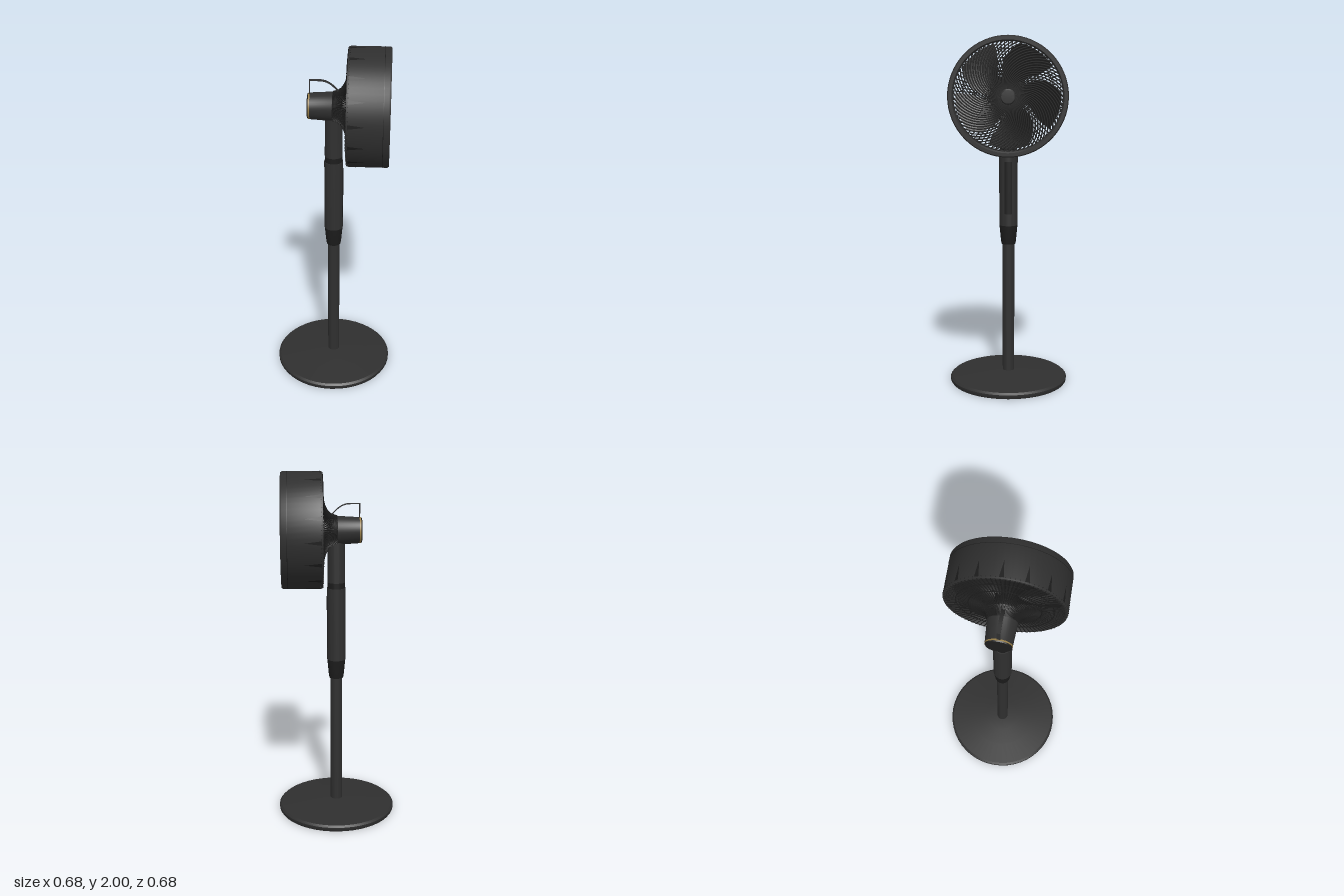
import * as THREE from 'three';
import { mergeGeometries, toCreasedNormals } from 'three/addons/utils/BufferGeometryUtils.js';

const mat = (name, color, side = THREE.FrontSide) => {
  const m = new THREE.MeshStandardMaterial({ color, side });
  m.name = name;
  return m;
};

export function createModel() {
  const body = mat('charcoal body', 0x2f2f2f);
  const dark = mat('black trim', 0x1c1c1c, THREE.DoubleSide);
  const gold = mat('brass ring', 0x9a8048);

  const model = new THREE.Group();
  model.name = 'pedestalFan';
  const head = new THREE.Group();
  head.name = 'fanHead';
  head.position.y = 1.676;
  model.add(head);

  const add = (parent, name, geometry, material) => {
    const mesh = new THREE.Mesh(geometry, material);
    mesh.name = name;
    parent.add(mesh);
    return mesh;
  };
  // Turned solid from [radius, height] pairs
  const turned = (pts, sides = 40) => toCreasedNormals(
    new THREE.LatheGeometry(pts.map(p => new THREE.Vector2(...p)), sides), 0.6);
  // The same, with its axis along x
  const turnedX = (pts, sides = 64) => turned(pts, sides).rotateZ(-Math.PI / 2);
  // Copies of a geometry spread around the x axis
  const around = (geometry, n, offset = 0) => mergeGeometries(
    Array.from({ length: n }, (_, i) => geometry.clone().rotateX(offset + i / n * Math.PI * 2)));

  // Stand
  add(model, 'base', turned([[0, 0], [0.336, 0], [0.341, 0.008], [0.341, 0.024], [0.33, 0.034],
    [0.2, 0.047], [0.1, 0.057], [0.045, 0.06], [0, 0.06]], 48), body);
  add(model, 'pole', turned([[0, 0.05], [0.034, 0.05], [0.034, 0.85], [0, 0.85]], 28), body);
  add(model, 'collar', turned([[0, 0.82], [0.04, 0.82], [0.043, 0.835], [0.052, 0.93], [0, 0.93]], 28), dark);
  add(model, 'sleeve', turned([[0, 0.93], [0.053, 0.93], [0.053, 1.35], [0, 1.352]], 32), body);
  add(model, 'neckSeam', turned([[0, 1.345], [0.049, 1.345], [0.049, 1.385], [0, 1.385]], 32), dark);
  add(model, 'neck', turned([[0, 1.383], [0.05, 1.383], [0.048, 1.64], [0, 1.64]], 32), body);
  // Curved control panel on the fan side of the sleeve
  add(model, 'controlPanel', new THREE.CylinderGeometry(0.0545, 0.0545, 0.3, 8, 1, true,
    Math.PI / 2 - 0.4, 0.8).translate(0, 1.15, 0), dark);

  // Motor housing and rear cap
  add(head, 'motorHousing', turnedX([[0, -0.128], [0.072, -0.128], [0.08, 0], [0.09, 0.03],
    [0.1, 0.05], [0, 0.05]], 40), body);
  add(head, 'brassRing', turnedX([[0, -0.136], [0.072, -0.136], [0.072, -0.128], [0, -0.128]], 40), gold);
  add(head, 'rearCap', turnedX([[0, -0.142], [0.067, -0.142], [0.071, -0.136], [0, -0.136]], 40), dark);

  // Thin strap handle
  const strap = new THREE.Shape();
  strap.moveTo(-0.132, 0.06);
  strap.lineTo(-0.132, 0.15);
  strap.lineTo(-0.08, 0.15);
  strap.bezierCurveTo(-0.04, 0.15, -0.01, 0.135, 0.035, 0.08);
  strap.lineTo(0.028, 0.08);
  strap.bezierCurveTo(-0.012, 0.131, -0.04, 0.145, -0.08, 0.145);
  strap.lineTo(-0.127, 0.145);
  strap.lineTo(-0.127, 0.06);
  add(head, 'handle', new THREE.ExtrudeGeometry(strap,
    { depth: 0.02, bevelEnabled: false, curveSegments: 10 }).translate(0, 0, -0.01), body);

  // Drum shell, open at both ends
  add(head, 'drum', turnedX([[0.31, 0.08], [0.322, 0.08], [0.324, 0.09], [0.324, 0.298], [0.318, 0.307],
    [0.3, 0.307], [0.293, 0.298], [0.293, 0.27], [0.306, 0.26], [0.306, 0.09], [0.31, 0.08]]), body);
  add(head, 'drumSeam', turnedX([[0.3245, 0.27], [0.3245, 0.273]]), dark);

  // Tapered marks on the drum, starting at its back edge
  const mark = new THREE.BufferGeometry();
  mark.setAttribute('position', new THREE.Float32BufferAttribute(
    [0.088, 0.3252, -0.012, 0.088, 0.3252, 0.012, 0.18, 0.3252, 0], 3));
  mark.computeVertexNormals();
  add(head, 'drumMarks', around(mark, 16, -0.06), dark);

  // Rear grille: bell-shaped ribs that hook over the back edge of the drum
  const bell = new THREE.CatmullRomCurve3([[-0.005, 0.079], [0.035, 0.095], [0.06, 0.13], [0.075, 0.19],
    [0.08, 0.26], [0.08, 0.321], [0.092, 0.323]].map(([x, r]) => new THREE.Vector3(x, r, 0)));
  add(head, 'rearGrilleRibs', around(new THREE.TubeGeometry(bell, 18, 0.0032, 4), 84), dark);
  for (const [x, r] of [[0.074, 0.19], [0.08, 0.255]]) {
    add(head, 'rearGrilleRing', new THREE.TorusGeometry(r, 0.003, 4, 64)
      .rotateY(Math.PI / 2).translate(x, 0, 0), dark);
  }

  // Front grille: swirling ribs, deeper than they are wide
  const swirl = new THREE.CatmullRomCurve3(Array.from({ length: 9 }, (_, i) => {
    const t = i / 8, r = 0.035 + 0.262 * t, a = -1.15 * t ** 1.2;
    return new THREE.Vector3(0, r * Math.sin(a), -r * Math.cos(a));
  }));
  const rib = new THREE.TubeGeometry(swirl, 14, 0.0036, 4).scale(2.6, 1, 1).translate(0.285, 0, 0);
  add(head, 'frontGrilleRibs', around(rib, 72), dark);
  add(head, 'frontBadgeDisc', turnedX([[0, 0.275], [0.042, 0.275], [0.042, 0.295], [0.036, 0.301],
    [0, 0.303]], 32), body);

  // Impeller: hub and five twisted blades
  add(head, 'impellerHub', turnedX([[0, 0.05], [0.06, 0.05], [0.06, 0.2], [0.045, 0.225], [0, 0.23]], 32), dark);
  const blade = new THREE.PlaneGeometry(1, 1, 8, 8);
  const p = blade.attributes.position;
  for (let i = 0; i < p.count; i++) {
    const u = p.getX(i), t = p.getY(i) + 0.5;
    const r = 0.055 + 0.235 * t;
    const a = u * (0.75 + 0.35 * Math.sin(t * Math.PI)) - 0.5 * t;
    p.setXYZ(i, 0.16 + u * 0.09 * (1 - 0.3 * t), r * Math.sin(a), -r * Math.cos(a));
  }
  blade.computeVertexNormals();
  add(head, 'impellerBlades', around(blade, 5, 0.2), dark);

  return model;
}
